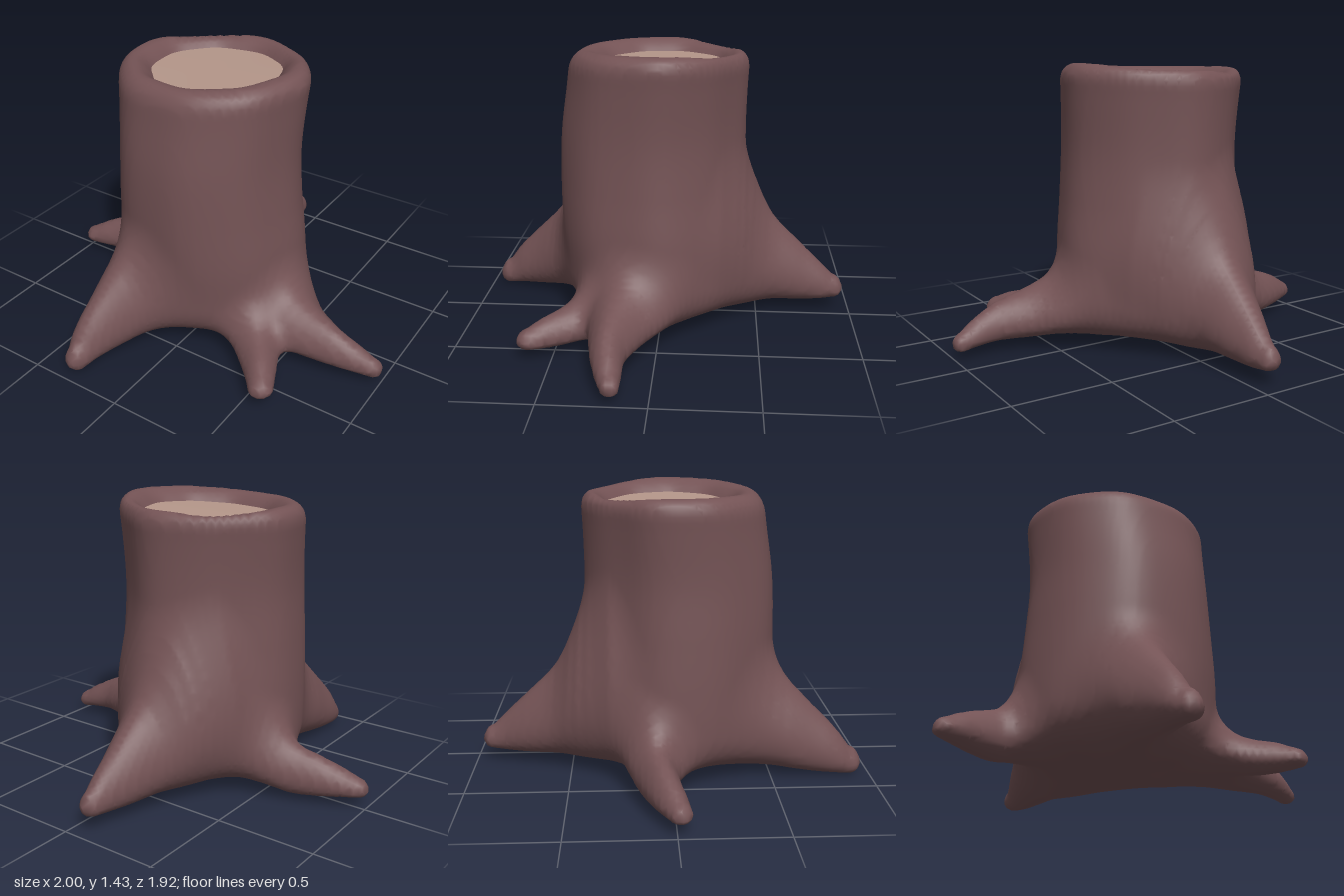
import * as THREE from 'three';

const bark = new THREE.MeshStandardMaterial({ color: 0x745355 });
const wood = new THREE.MeshStandardMaterial({ color: 0xb5978a });

// Soft union and soft intersection of two distances
function softMin(a, b, k) {
  const h = Math.max(k - Math.abs(a - b), 0) / k;
  return Math.min(a, b) - h * h * k * 0.25;
}
const softMax = (a, b, k) => -softMin(-a, -b, k);

// Trunk profile by height: centre x, centre z, radius x, radius z
const profile = new THREE.CubicInterpolant(
  [0.1, 0.3, 0.5, 0.75, 1.0, 1.25, 1.4],
  [
    -0.06, 0.02, 0.49, 0.48,
    -0.065, 0.03, 0.5, 0.48,
    -0.065, 0.04, 0.495, 0.485,
    -0.07, 0.05, 0.475, 0.48,
    -0.07, 0.05, 0.462, 0.47,
    -0.07, 0.03, 0.475, 0.455,
    -0.07, 0.015, 0.49, 0.45,
  ], 4, new Float32Array(4));

// The sawn top leans slightly up to the right and dips front and back
const topLift = (x, z) => 0.03 * x - 0.08 * z * z;

function trunkDistance(x, y, z) {
  const [cx, cz, rx, rz] = profile.evaluate(y);
  const u = (x - cx) / rx, v = (z - cz) / rz, a = Math.atan2(v, u);
  // Uneven flats between the four sides
  const flats = 0.046 * Math.cos(a - Math.PI / 4) - 0.032 * Math.cos(a + Math.PI / 4) - 0.03;
  const facets = 1 + flats * Math.sin(2 * a) ** 2 + 0.006 * Math.cos(9 * a + 0.6);
  const side = (Math.hypot(u, v) - facets) * (rx + rz) / 2;
  const level = y - topLift(x, z);
  const log = softMax(softMax(side, 0.07 - y, 0.2), level - 1.428, 0.1);
  // Shallow funnel inside the rim
  const hole = Math.hypot(x + 0.075, z * 1.05) - 0.325 * (1 + 0.012 * Math.cos(9 * a)) - (level - 1.36) * 0.8;
  return softMax(log, -Math.max(hole, 1.31 - level), 0.06);
}

// Roots from tip to trunk. Each section: x, z, half width, bottom, top
const roots = [
  { // left side
    blend: 0.12,
    sections: [
      [0.955, 0.175, 0.046, 0.04, 0.135], [0.88, 0.19, 0.062, 0.05, 0.185], [0.75, 0.205, 0.085, 0.055, 0.25],
      [0.58, 0.185, 0.14, 0.055, 0.31], [0.44, 0.15, 0.2, 0.07, 0.39], [0.3, 0.11, 0.22, 0.1, 0.55],
    ],
  },
  { // front left
    blend: 0.09,
    sections: [
      [0.575, 0.61, 0.06, 0.055, 0.155], [0.53, 0.54, 0.073, 0.045, 0.19],
      [0.45, 0.43, 0.1, 0.045, 0.225], [0.35, 0.32, 0.13, 0.07, 0.3], [0.2, 0.2, 0.15, 0.1, 0.42],
    ],
  },
  { // front
    blend: 0.14,
    sections: [
      [-0.32, 0.9, 0.057, 0.005, 0.145], [-0.32, 0.82, 0.085, 0.012, 0.25], [-0.3, 0.7, 0.12, 0.02, 0.37],
      [-0.265, 0.55, 0.175, 0.04, 0.52], [-0.22, 0.42, 0.21, 0.07, 0.64], [-0.15, 0.25, 0.22, 0.1, 0.72],
    ],
  },
  { // right side
    blend: 0.12,
    sections: [
      [-0.95, 0.015, 0.052, 0.058, 0.155], [-0.88, -0.01, 0.067, 0.052, 0.195], [-0.78, -0.045, 0.08, 0.042, 0.24],
      [-0.65, -0.075, 0.1, 0.035, 0.29], [-0.54, -0.08, 0.14, 0.06, 0.4], [-0.4, -0.07, 0.18, 0.1, 0.6],
    ],
  },
  { // back
    blend: 0.16,
    sections: [
      [-0.08, -0.91, 0.052, 0.075, 0.2], [-0.08, -0.83, 0.077, 0.065, 0.28], [-0.09, -0.72, 0.115, 0.06, 0.385],
      [-0.1, -0.57, 0.17, 0.06, 0.54], [-0.11, -0.44, 0.25, 0.07, 0.78], [-0.11, -0.3, 0.32, 0.1, 0.98],
    ],
  },
];

// Finer, smoothly curved sections
for (const root of roots) {
  const rows = root.sections, curve = new THREE.CubicInterpolant([...rows.keys()], rows.flat(), 5, new Float32Array(5));
  root.sections = Array.from({ length: (rows.length - 1) * 3 + 1 }, (_, i) => [...curve.evaluate(i / 3)]);
}

// Distance to a root: egg sections, wider near the ground, at the nearest place along its line
function rootDistance(sections, x, y, z) {
  let near = Infinity, at = 0, part = 0;
  for (let i = 0; i < sections.length - 1; i++) {
    const a = sections[i], dx = sections[i + 1][0] - a[0], dz = sections[i + 1][1] - a[1];
    const t = THREE.MathUtils.clamp(((x - a[0]) * dx + (z - a[1]) * dz) / (dx * dx + dz * dz), 0, 1);
    const away = Math.hypot(x - a[0] - dx * t, z - a[1] - dz * t);
    if (away < near) [near, at, part] = [away, i, t];
  }
  const [w, low, high] = [2, 3, 4].map((n) => THREE.MathUtils.lerp(sections[at][n], sections[at + 1][n], part));
  const half = (high - low) / 2, lift = (y - low) / half - 1;
  const width = w * (1 - 0.25 * THREE.MathUtils.clamp(lift, -1, 1));
  const across = near / width, q = Math.max(Math.hypot(across, lift), 1e-4);
  return q * (q - 1) / Math.max(Math.hypot(across / width, lift / half), 1e-4);
}

const stumpDistance = (x, y, z) => roots.reduce(
  (d, r) => softMin(d, rootDistance(r.sections, x, y, z), r.blend), trunkDistance(x, y, z));

// Moves a point onto the surface
function settle(p) {
  const e = 0.004;
  for (let i = 0; i < 2; i++) {
    const d = stumpDistance(p.x, p.y, p.z);
    const g = new THREE.Vector3(
      stumpDistance(p.x + e, p.y, p.z) - stumpDistance(p.x - e, p.y, p.z),
      stumpDistance(p.x, p.y + e, p.z) - stumpDistance(p.x, p.y - e, p.z),
      stumpDistance(p.x, p.y, p.z + e) - stumpDistance(p.x, p.y, p.z - e)).divideScalar(2 * e);
    const move = THREE.MathUtils.clamp(-d / Math.max(g.lengthSq(), 0.2), -0.01, 0.01);
    p.addScaledVector(g, move);
  }
  return p;
}

// One seamless skin over trunk and roots: a vertex per crossed cell, a quad per crossed edge
function trunkAndRoots() {
  const cell = 0.027, nx = 80, ny = 58, nz = 80, step = [1, nx, nx * ny];
  const at = (i, j, k) => new THREE.Vector3(i * cell - 1.07, j * cell - 0.06, k * cell - 1.07);
  const value = new Float32Array(nx * ny * nz);
  const eachCell = (from, visit) => {
    for (let k = from; k < nz - 1; k++)
      for (let j = from; j < ny - 1; j++)
        for (let i = from; i < nx - 1; i++) visit(i + j * nx + k * nx * ny, i, j, k);
  };
  eachCell(0, (c, i, j, k) => {
    const p = at(i, j, k);
    value[c] = stumpDistance(p.x, p.y, p.z);
  });
  const vertexOf = new Map(), points = [], index = [];
  eachCell(0, (c, i, j, k) => {
    if (Math.max(i - nx, j - ny, k - nz) >= -2) return;
    const sum = new THREE.Vector3();
    let count = 0;
    for (let corner = 0; corner < 8; corner++) {
      const o = [corner & 1, (corner >> 1) & 1, corner >> 2];
      const from = c + o[0] + o[1] * step[1] + o[2] * step[2];
      for (let axis = 0; axis < 3; axis++) {
        const v0 = value[from], v1 = value[from + step[axis]];
        if (o[axis] || v0 < 0 === v1 < 0) continue;
        const edge = [...o];
        edge[axis] = v0 / (v0 - v1);
        sum.add(at(i + edge[0], j + edge[1], k + edge[2]));
        count++;
      }
    }
    if (!count) return;
    vertexOf.set(c, points.length);
    points.push(settle(sum.divideScalar(count)));
  });
  eachCell(1, (c, i, j, k) => {
    if (Math.max(i - nx, j - ny, k - nz) >= -2) return;
    for (let axis = 0; axis < 3; axis++) {
      const inside = value[c] < 0;
      if (inside === value[c + step[axis]] < 0) continue;
      const u = step[(axis + 1) % 3], v = step[(axis + 2) % 3];
      const q = [c - u - v, c - v, c, c - u].map((n) => vertexOf.get(n));
      if (!inside) q.reverse();
      index.push(q[0], q[1], q[2], q[0], q[2], q[3]);
    }
  });
  const geo = new THREE.BufferGeometry().setFromPoints(points);
  geo.setIndex(index);
  geo.computeVertexNormals();
  const mesh = new THREE.Mesh(geo, bark);
  mesh.name = 'trunkAndRoots';
  return mesh;
}

// Pale cut face set inside the rim
function cutFace() {
  const geo = new THREE.CircleGeometry(0.35, 40).rotateX(-Math.PI / 2).translate(-0.075, 1.358, 0);
  const p = geo.attributes.position;
  for (let i = 0; i < p.count; i++) p.setY(i, p.getY(i) + topLift(p.getX(i), p.getZ(i)));
  geo.computeVertexNormals();
  const mesh = new THREE.Mesh(geo, wood);
  mesh.name = 'cutFace';
  return mesh;
}

export function createModel() {
  const group = new THREE.Group();
  group.name = 'treeStump';
  group.add(trunkAndRoots(), cutFace());
  return group;
}
